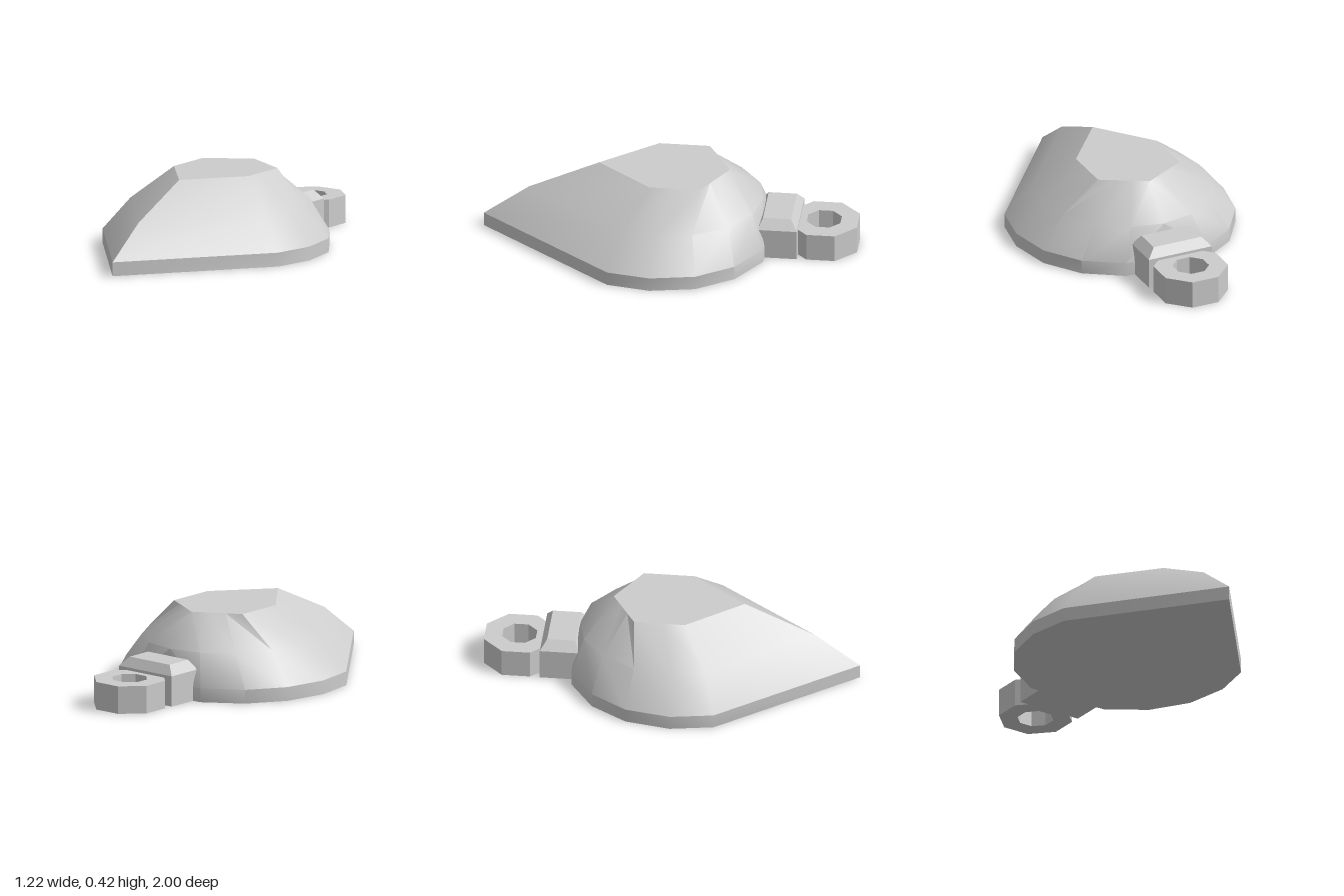
import * as THREE from 'three';
import { toCreasedNormals } from 'three/addons/utils/BufferGeometryUtils.js';

// Half outlines [x, z], from the front tip round to the back
const RIM = [[0, 1], [0.57, 0.28], [0.61, 0.05], [0.565, -0.19], [0.435, -0.385], [0.235, -0.515], [0, -0.525]];
const SHOULDER = [[0, 0.76], [0.43, 0.22], [0.465, 0.04], [0.43, -0.16], [0.33, -0.34], [0.18, -0.455], [0, -0.49]];
const TABLE = [[0, 0.385], [0.24, 0.09], [0.24, -0.02], [0.24, -0.18], [0.16, -0.225], [0.08, -0.27], [0, -0.315]];

// Mirror a half outline into a closed ring at height y
function ring(half, y) {
  const mirrored = half.slice(1, -1).reverse().map(([x, z]) => [-x, z]);
  return [...half, ...mirrored].map(([x, z]) => [x, y, z]);
}

// Skin a stack of rings (listed bottom to top) and cap both ends
function loft(rings, crease) {
  const pos = [];
  const tri = (a, b, c) => pos.push(...a, ...b, ...c);
  const n = rings[0].length;
  for (let r = 0; r < rings.length - 1; r++) {
    for (let i = 0; i < n; i++) {
      const j = (i + 1) % n;
      const a = rings[r][i], b = rings[r][j], c = rings[r + 1][j], d = rings[r + 1][i];
      // Diagonals swap sides so the halves mirror each other
      if (i < n / 2) { tri(a, b, c); tri(a, c, d); }
      else { tri(a, b, d); tri(b, c, d); }
    }
  }
  const bottom = rings[0], top = rings[rings.length - 1];
  const middle = (p) => [0, p[0][1], p.reduce((s, q) => s + q[2], 0) / n];
  for (let i = 0; i < n; i++) {
    const j = (i + 1) % n;
    tri(middle(top), top[i], top[j]);
    tri(middle(bottom), bottom[j], bottom[i]);
  }
  const geo = new THREE.BufferGeometry();
  geo.setAttribute('position', new THREE.Float32BufferAttribute(pos, 3));
  return toCreasedNormals(geo, crease);
}

// Rectangle ring, counterclockwise from above
const rect = (x, y, front, back) => [[-x, y, front], [x, y, front], [x, y, back], [-x, y, back]];

// Octagon with flat sides facing the axes
function octagon(Type, apothem) {
  const shape = new Type();
  const radius = apothem / Math.cos(Math.PI / 8);
  const pts = [];
  for (let i = 0; i < 8; i++) {
    const a = Math.PI / 8 + i * Math.PI / 4;
    pts.push(new THREE.Vector2(radius * Math.cos(a), radius * Math.sin(a)));
  }
  return shape.setFromPoints(pts);
}

export function createModel() {
  const model = new THREE.Group();
  model.name = 'teardropPendant';
  const grey = new THREE.MeshStandardMaterial({ color: 0xcccccc });
  grey.name = 'grey';

  const add = (name, geo) => {
    const mesh = new THREE.Mesh(geo, grey);
    mesh.name = name;
    model.add(mesh);
    return mesh;
  };

  // Faceted teardrop stone: upright rim, sloping crown and flat table
  add('stone', loft([
    ring(RIM, 0), ring(RIM, 0.075), ring(SHOULDER, 0.25), ring(TABLE, 0.42),
  ], 0.56));

  // Bevelled block joining the stone to the loop
  add('mount', loft([
    rect(0.185, 0, -0.48, -0.69),
    rect(0.185, 0.165, -0.48, -0.69),
    rect(0.14, 0.215, -0.505, -0.655),
  ], 0.3));

  // Octagonal hanging loop
  const outline = octagon(THREE.Shape, 0.183);
  outline.holes.push(octagon(THREE.Path, 0.09));
  const loopGeo = new THREE.ExtrudeGeometry(outline, { depth: 0.15, bevelEnabled: false });
  loopGeo.rotateX(-Math.PI / 2);
  add('hangingLoop', loopGeo).position.z = -0.817;

  return model;
}
